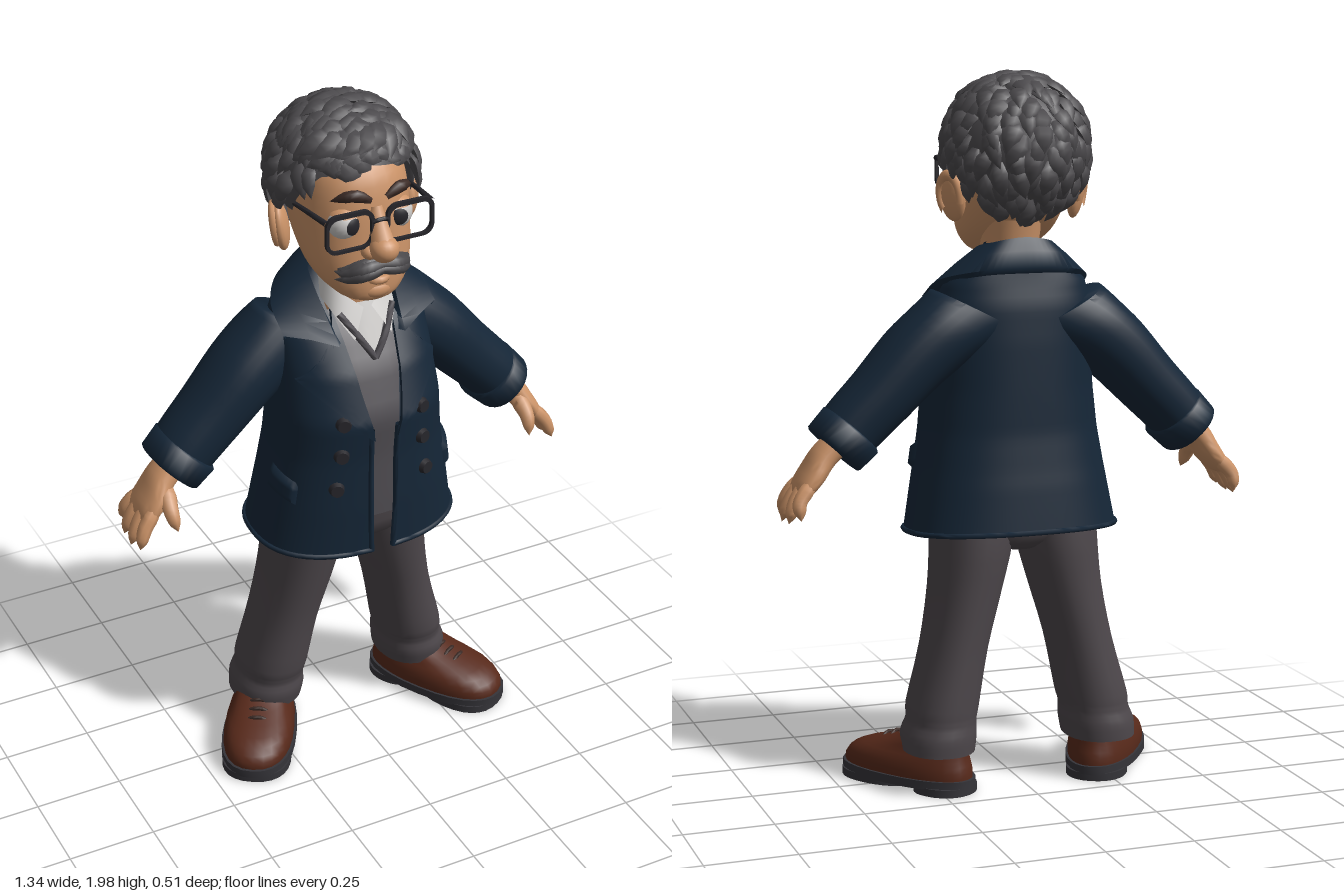
import * as THREE from 'three';
import { mergeGeometries, mergeVertices, toCreasedNormals } from 'three/addons/utils/BufferGeometryUtils.js';
const mat = (name, color, side = THREE.FrontSide) => Object.assign(new THREE.MeshStandardMaterial({ color, side }), { name });
const V = (p) => new THREE.Vector3(...p);
const { lerp, clamp, degToRad: rad } = THREE.MathUtils;
const spow = (c, p) => Math.sign(c) * Math.abs(c) ** (2 / p);
let seed = 7;
const rnd = () => ((seed = (seed * 16807) % 2147483647) / 2147483647) * 2 - 1;
// Row interpolated in a table whose first column is the ascending key
function table(rows, k) {
  let i = 0;
  while (i < rows.length - 2 && k > rows[i + 1][0]) i++;
  const t = clamp((k - rows[i][0]) / (rows[i + 1][0] - rows[i][0]), 0, 1);
  return rows[i].map((v, c) => lerp(v, rows[i + 1][c], t));
}
// Surface over a grid of points fn(u, v), u and v in 0..1
function grid(nu, nv, fn) {
  const pos = [], idx = [];
  for (let i = 0; i <= nu; i++) for (let j = 0; j <= nv; j++) pos.push(...fn(i / nu, j / nv, i));
  for (let i = 0; i < nu; i++) for (let j = 0; j < nv; j++) {
    const a = i * (nv + 1) + j, b = a + nv + 1;
    idx.push(a, b, a + 1, b, b + 1, a + 1);
  }
  const g = new THREE.BufferGeometry().setIndex(idx);
  g.setAttribute('position', new THREE.Float32BufferAttribute(pos, 3));
  return toCreasedNormals(mergeVertices(g), 1.2);
}
const onRim = (u, v) => u === 0 || u === 1 || v === 0 || v === 1;
// Stack of superellipse sections [x, y, z, rx, rz, tilt], capped at both ends
function loft(sec, { n = 28, p = 2.2, taper = 0, sub = 3 } = {}) {
  const rows = [], at = (i) => sec[clamp(i, 0, sec.length - 1)];
  for (let i = 0; i < sec.length - 1; i++) for (let k = 0; k < sub; k++) {
    const t = k / sub, [a, b, c, d] = [at(i - 1), at(i), at(i + 1), at(i + 2)];
    rows.push(b.map((v, m) => v + 0.5 * t * (c[m] - a[m] + t * (2 * a[m] - 5 * v + 4 * c[m] - d[m] + t * (3 * (v - c[m]) + d[m] - a[m])))));
  }
  rows.push(sec[sec.length - 1]);
  const cap = (r) => r.map((v, m) => (m === 3 || m === 4 ? 0 : v));
  rows.unshift(cap(rows[0])); rows.push(cap(rows[rows.length - 1]));
  return grid(rows.length - 1, n, (u, v, i) => {
    const [x, y, z, ru, rv, t = 0] = rows[i], a = v * Math.PI * 2, c = spow(Math.cos(a), p) * ru * (1 + taper * Math.sin(a));
    return [x + c * Math.cos(t), y + c * Math.sin(t), z + spow(Math.sin(a), p) * rv];
  });
}
// Tapered tube along points, flattened towards "up"
function sweep(pts, radii, { up = [0, 0, 1], flat = 1, n = 8, seg = 8 } = {}) {
  const curve = new THREE.CatmullRomCurve3(pts.map(V)), r = radii.map((v, i) => [i / (radii.length - 1), v]);
  return grid(n, seg, (u, v) => {
    const T = curve.getTangentAt(u), S = T.clone().cross(V(up)).normalize(), N = S.clone().cross(T);
    const R = table(r, u)[1], a = v * Math.PI * 2;
    return curve.getPointAt(u).addScaledVector(S, R * Math.cos(a)).addScaledVector(N, R * flat * Math.sin(a)).toArray();
  });
}
const ball = (x, y, z, a, b, c) => new THREE.SphereGeometry(1, 20, 14).scale(a, b, c).translate(x, y, z);
function plain(g) {
  const o = g.index ? g.toNonIndexed() : g.clone();
  o.deleteAttribute('uv'); o.clearGroups();
  return o;
}
// A geometry with its mirror image, corners reordered
function pair(g) {
  const o = plain(g).scale(-1, 1, 1);
  for (const at of Object.values(o.attributes)) for (let i = 0; i < at.count; i += 3) {
    const b = [at.getX(i + 1), at.getY(i + 1), at.getZ(i + 1)];
    at.setXYZ(i + 1, at.getX(i + 2), at.getY(i + 2), at.getZ(i + 2)).setXYZ(i + 2, ...b);
  }
  return [g, o];
}
// Coat rows: height, centre z, half width, half depth, half opening
const P = 2.4, coatRows = [[0.7, -0.015, 0.3, 0.215, 0.035], [0.85, -0.005, 0.275, 0.21, 0.04], [1, 0.005, 0.25, 0.2, 0.04],
  [1.12, 0.012, 0.238, 0.202, 0.042], [1.25, -0.01, 0.228, 0.174, 0.065], [1.35, -0.038, 0.224, 0.138, 0.085],
  [1.42, -0.06, 0.195, 0.1, 0.095], [1.47, -0.075, 0.135, 0.075, 0.09], [1.52, -0.085, 0.095, 0.05, 0.08]];
function coatAt(a, y, off = 0) {
  const [, cz, rx, rz] = table(coatRows, y), lift = 0.016 * (1 - Math.sin(a)) * Math.max(0, (0.9 - y) / 0.2);
  return [spow(Math.cos(a), P) * (rx + off), y + lift, cz + spow(Math.sin(a), P) * (rz + off)];
}
function coatZ(x, y, off) {
  const [, cz, rx, rz] = table(coatRows, y);
  return cz + off + rz * (1 - Math.min(0.999, Math.abs(x) / rx) ** P) ** (1 / P);
}
const coatGap = (y) => { const [, , rx, , w] = table(coatRows, y); return Math.asin((w / rx) ** (P / 2)); };
const between = (a, b, dy) => a.map((p, i) => [(p[0] + b[i][0]) / 2, (p[1] + b[i][1]) / 2 + dy, (p[2] + b[i][2]) / 2]);
// Hair volume: directions, hairline (azimuth, elevation) and pointed locks
const hairPoint = (d, off) => [d.x * 0.182 * (1 + off), 1.765 + d.y * 0.19 * (1 + off), -0.034 + d.z * 0.19 * (1 + off)];
const dir = (th, ph) => V([Math.sin(rad(th)) * Math.cos(rad(ph)), Math.sin(rad(ph)), Math.cos(rad(th)) * Math.cos(rad(ph))]);
const hairline = [[0, 26], [45, 18], [62, 4], [76, -20], [87, -16], [102, -10], [118, -42], [150, -58], [180, -66]];
const lowest = (th) => table(hairline, Math.abs(((th + 540) % 360) - 180))[1];
function lock(A, B, w, lift, bend = 0) {
  const pts = [0, 0.33, 0.66, 1].map((t, i) => {
    const d = A.clone().lerp(B, t);
    d.z += bend * Math.sin(t * Math.PI);
    return hairPoint(d.normalize(), lift * [0, 0.75, 1.05, 1.2][i]);
  });
  return sweep(pts, [w * 0.5, w, w * 0.75, 0], { up: A.clone().add(B).normalize().toArray(), flat: 0.5, n: 6, seg: 6 });
}

export function createModel() {
  const model = new THREE.Group(), head = new THREE.Group(), D = THREE.DoubleSide;
  model.name = 'man'; head.name = 'head'; head.position.x = -0.01;
  model.add(head);
  const skin = mat('skin', 0xcb9368), hair = mat('hair', 0x4c4a4d, D), coat = mat('navy coat', 0x152637, D), trouser = mat('grey trousers', 0x4d474b);
  const leather = mat('brown leather', 0x57291a), sole = mat('sole', 0x353439), white = mat('white', 0xcdcbc9, D);
  const knit = mat('sweater', 0x504d52, D), dark = mat('dark frame', 0x27262b), brow = mat('dark brown', 0x3d2c27);
  const add = (parent, name, material, ...geos) => {
    const m = new THREE.Mesh(mergeGeometries(geos.flat().map(plain)), material);
    m.name = name; parent.add(m);
  };
  // Shoes, turned outward
  const place = (g) => pair(g.rotateY(0.55).translate(0.295, 0, -0.005)), foot = { p: 2.3, taper: 0.12, sub: 2 };
  add(model, 'shoeUppers', leather, place(loft([[0, 0.035, 0, 0.1, 0.213], [0, 0.062, 0, 0.101, 0.212], [0, 0.092, -0.012, 0.094, 0.192],
    [0, 0.115, -0.045, 0.08, 0.155], [0, 0.14, -0.085, 0.07, 0.108], [0, 0.158, -0.1, 0.06, 0.09]], foot)));
  add(model, 'shoeSoles', sole, [[0.018, 0.042, 0, 0.107, 0.222], [0, 0.022, -0.135, 0.086, 0.084], [0, 0.022, 0.085, 0.1, 0.132]]
    .flatMap(([y0, y1, z, w, l]) => place(loft([[0, y0, z, w, l], [0, y1, z, w, l]], { ...foot, sub: 1 }))));
  add(model, 'laces', brow, [0, 1, 2].flatMap((i) => place(sweep([[-0.045, 0.112 + i * 0.008, 0.072 - i * 0.03],
    [0, 0.127 + i * 0.01, 0.078 - i * 0.03], [0.045, 0.112 + i * 0.008, 0.072 - i * 0.03]], [0, 0.006, 0.006, 0], { up: [0, 1, 0] }))));
  // Trousers with rumpled hems
  add(model, 'trouserLegs', trouser, pair(loft([[0.24, 0.115, -0.09, 0.1, 0.122], [0.236, 0.16, -0.085, 0.102, 0.127], [0.228, 0.2, -0.084, 0.094, 0.12], [0.222, 0.24, -0.078, 0.097, 0.125],
    [0.185, 0.4, -0.068, 0.09, 0.126], [0.148, 0.56, -0.055, 0.098, 0.136], [0.125, 0.7, -0.045, 0.111, 0.145], [0.115, 0.86, -0.03, 0.115, 0.145]])));
  add(model, 'trouserSeat', trouser, loft([[0, 0.67, -0.04, 0.06, 0.09], [0, 0.72, -0.015, 0.16, 0.165], [0, 0.86, 0, 0.2, 0.175]]));
  // Sweater with V neck, shirt and shirt collar
  add(model, 'sweater', knit, grid(20, 40, (u, v) => coatAt(v * Math.PI * 2, lerp(0.81, 1.4, u), -0.014)));
  add(model, 'sweaterNeckband', knit, pair(sweep([[0, 1.285, 0.15], [0.035, 1.34, 0.135], [0.08, 1.41, 0.09]], [0.009, 0.01, 0.009])));
  add(model, 'shirtFront', white, grid(8, 8, (u, v) => {
    const x = (v - 0.5) * 2 * lerp(0.004, 0.075, u);
    return [x, lerp(1.285, 1.43, u), lerp(0.148, 0.088, u) - x * x * 3];
  }));
  const [shTop, shOut] = [[[0.012, 1.42, 0.102], [0.074, 1.47, 0.05], [0.078, 1.49, -0.05], [0, 1.5, -0.118]],
    [[0.055, 1.345, 0.137], [0.094, 1.415, 0.068], [0.088, 1.45, -0.06], [0, 1.46, -0.128]]].map((h) => new THREE.CatmullRomCurve3(h.map(V)));
  add(model, 'shirtCollar', white, pair(grid(3, 20, (u, v) => shTop.getPoint(v).lerp(shOut.getPoint(v), u).toArray())));
  // Coat body, edges and hem
  const around = (y, v) => lerp(Math.PI / 2 + coatGap(y), Math.PI * 2.5 - coatGap(y), v);
  add(model, 'coatBody', coat, grid(40, 56, (u, v) => coatAt(around(lerp(0.7, 1.52, u), v), lerp(0.7, 1.52, u))));
  add(model, 'coatHem', coat, sweep([...Array(25).keys()].map((i) => coatAt(around(0.7, i / 24), 0.705)), [0.008, 0.008], { up: [0, 1, 0], n: 60, seg: 6 }));
  add(model, 'coatFrontEdges', coat, pair(sweep([0.7, 0.85, 1, 1.1].map((y) => coatAt(Math.PI / 2 - coatGap(y), y, -0.003)), [0.009, 0.009], { n: 14 })));
  // Peaked lapels: t, inner edge x y, outer edge x y
  const lapel = [[0, 0.085, 1.41, 0.11, 1.325], [0.15, 0.08, 1.36, 0.21, 1.24], [0.6, 0.06, 1.2, 0.12, 1.155], [1, 0.035, 1.07, 0.045, 1.075]];
  add(model, 'lapels', coat, pair(grid(22, 10, (u, v) => {
    const [, xi, yi, xo, yo] = table(lapel, (u * 22 - 1) / 20), s = clamp((v * 10 - 1) / 8, 0, 1), x = lerp(xi, xo, s), y = lerp(yi, yo, s);
    return [x, y, coatZ(x, y, onRim(u, v) ? -0.002 : 0.011)];
  })));
  // Collar: rows of half curves from front to centre back, mirrored into whole curves
  const cTop = [[0.1, 1.335, 0.132], [0.112, 1.497, -0.03], [0.08, 1.525, -0.122], [0, 1.537, -0.14]];
  const cOut = [[0.23, 1.365, 0.06], [0.218, 1.418, -0.045], [0.13, 1.45, -0.155], [0, 1.455, -0.172]];
  const cRows = [[[0.085, 1.335, 0.11], [0.1, 1.44, -0.02], [0.072, 1.49, -0.112], [0, 1.5, -0.125]], cTop, between(cTop, cOut, 0.005), cOut,
    cOut.map(([x, y, z]) => [x * 0.96, y - 0.014, z * 0.95])]
    .map((h) => new THREE.CatmullRomCurve3([...h, ...h.slice(0, -1).reverse().map(([x, y, z]) => [-x, y, z])].map(V)));
  add(model, 'coatCollar', coat, grid(4, 40, (u, v, i) => cRows[i].getPoint(v).toArray()));
  // Pocket flaps and buttons
  add(model, 'pocketFlaps', coat, pair(grid(6, 10, (u, v) => coatAt(lerp(0.08, 0.6, v), lerp(0.895, 0.965, u) - v * 0.03, onRim(u, v) ? -0.002 : 0.012))));
  add(model, 'buttons', dark, [[0.12, 1.13], [0.125, 1.03], [0.138, 0.925]].flatMap(([x, y]) =>
    pair(new THREE.CylinderGeometry(0.018, 0.023, 0.016, 14).rotateX(Math.PI / 2).rotateY(0.3).translate(x, y, coatZ(x, y, 0.006)))));
  // Sleeves and cuffs
  add(model, 'sleeves', coat, pair(loft([[0.517, 0.98, -0.065, 0.08, 0.095, 0.75], [0.47, 1.035, -0.065, 0.086, 0.1, 0.76], [0.39, 1.115, -0.068, 0.091, 0.107, 0.77],
    [0.295, 1.213, -0.07, 0.1, 0.115, 0.74], [0.205, 1.285, -0.075, 0.112, 0.113, 0.6], [0.12, 1.335, -0.075, 0.138, 0.1, 0.47]])));
  add(model, 'cuffs', coat, pair(loft([[0.525, 0.971, -0.065, 0.083, 0.098, 0.76], [0.522, 0.975, -0.065, 0.089, 0.103, 0.76],
    [0.475, 1.022, -0.065, 0.093, 0.107, 0.76], [0.471, 1.026, -0.065, 0.086, 0.1, 0.76]], { sub: 1 })));
  // Hands
  const palm = loft([[0.622, 0.852, -0.055, 0.018, 0.062, 0.6], [0.608, 0.873, -0.055, 0.027, 0.074, 0.62], [0.58, 0.91, -0.055, 0.033, 0.072, 0.65],
    [0.55, 0.955, -0.06, 0.036, 0.056, 0.7], [0.5, 1, -0.063, 0.038, 0.05, 0.75]]);
  const fingers = [[-0.108, -0.14, 0.635, 0.795], [-0.072, -0.088, 0.657, 0.779], [-0.036, -0.03, 0.662, 0.776], [0, 0.022, 0.655, 0.787]].map(([z0, z1, x, y]) =>
    sweep([[0.6, 0.885, z0], [0.635, 0.84, lerp(z0, z1, 0.5)], [x, y, z1]], [0.018, 0.022, 0.021, 0.02, 0.017, 0], { n: 12 }));
  const thumb = sweep([[0.555, 0.93, -0.02], [0.562, 0.885, 0.032], [0.555, 0.838, 0.058]], [0.022, 0.026, 0.023, 0.021, 0.017, 0], { n: 12, up: [1, 0, 0] });
  add(model, 'hands', skin, [palm, ...fingers, thumb].flatMap(pair));
  // Neck, face, nose, lip and ears
  add(model, 'neck', skin, loft([[0, 1.36, -0.025, 0.08, 0.095], [0, 1.45, -0.012, 0.073, 0.088], [0, 1.58, -0.02, 0.085, 0.095]]));
  add(head, 'face', skin, loft([[0, 1.476, 0.12, 0.05, 0.05], [0, 1.492, 0.108, 0.085, 0.078], [0, 1.53, 0.075, 0.122, 0.115], [0, 1.58, 0.043, 0.142, 0.145],
    [0, 1.65, 0.013, 0.152, 0.168], [0, 1.74, -0.003, 0.152, 0.174], [0, 1.82, -0.018, 0.14, 0.166], [0, 1.88, -0.025, 0.105, 0.12]], { p: 2.35 }),
  ball(0, 1.51, 0.16, 0.05, 0.03, 0.035));
  add(head, 'nose', skin, ball(0, 1.643, 0.212, 0.04, 0.036, 0.04), pair(ball(0.032, 1.632, 0.19, 0.022, 0.02, 0.025)),
    sweep([[0, 1.745, 0.163], [0, 1.7, 0.182], [0, 1.65, 0.208]], [0.018, 0.026, 0.034]));
  add(head, 'lowerLip', skin, sweep([[-0.045, 1.545, 0.172], [0, 1.543, 0.192], [0.045, 1.545, 0.172]], [0, 0.012, 0.012, 0], { up: [0, 1, 0] }));
  const rim = new THREE.TorusGeometry(0.037, 0.011, 8, 20, 4.4).rotateZ(-0.9).rotateY(-Math.PI / 2).scale(1, 1.45, 0.95).translate(0.014, 0.006, -0.002);
  add(head, 'ears', skin, pair(mergeGeometries([ball(0, 0, 0, 0.022, 0.07, 0.043), rim].map(plain)).rotateZ(-0.14).rotateY(0.55).translate(0.18, 1.645, -0.03)));
  // Eyes, lids, brows
  const eye = (g) => pair(g.translate(0.076, 1.702, 0.13));
  add(head, 'eyeballs', white, eye(new THREE.SphereGeometry(0.046, 20, 14)));
  add(head, 'irises', dark, eye(new THREE.SphereGeometry(0.0475, 18, 6, 0, Math.PI * 2, 0, 0.52).rotateX(Math.PI / 2).rotateY(-0.22)));
  add(head, 'eyelids', skin, eye(new THREE.SphereGeometry(0.0495, 20, 8, 0, Math.PI * 2, 0, 0.95).rotateX(0.1)));
  add(head, 'eyebrows', brow, pair(sweep([[0.022, 1.772, 0.18], [0.065, 1.79, 0.172], [0.12, 1.772, 0.135]], [0.008, 0.018, 0.016, 0], { flat: 0.8 })));
  // Moustache: overlapping strands on each side
  add(head, 'moustache', hair, [[0, 0, 1], [-0.012, 0.006, 0.8], [0.008, -0.008, 0.85]].flatMap(([dy, dz, k]) =>
    pair(sweep([[-0.004, 1.592 + dy, 0.2 + dz], [0.045, 1.586 + dy, 0.198 + dz], [0.085, 1.57 + dy, 0.17 + dz], [0.113, 1.574 + dy * 2, 0.14 + dz]],
      [0.014 * k, 0.023 * k, 0.024 * k, 0.016 * k, 0], { flat: 0.8, n: 12 }))));
  // Glasses
  const rounded = (s, x0, y0, x1, y1, r) => [[x1 - r, y1 - r], [x0 + r, y1 - r], [x0 + r, y0 + r], [x1 - r, y0 + r]]
    .reduce((path, [x, y], i) => path.absarc(x, y, r, i * Math.PI / 2, (i + 1) * Math.PI / 2), s);
  const frame = rounded(new THREE.Shape(), 0.018, 1.645, 0.158, 1.755, 0.032);
  frame.holes.push(rounded(new THREE.Path(), 0.027, 1.653, 0.149, 1.743, 0.026));
  add(head, 'glasses', dark, pair(new THREE.ExtrudeGeometry(frame, { depth: 0.011, bevelEnabled: false, curveSegments: 6 }).translate(0, 0, 0.183)),
    sweep([[-0.024, 1.715, 0.19], [0, 1.722, 0.197], [0.024, 1.715, 0.19]], [0.006, 0.006], { up: [0, 1, 0] }),
    pair(sweep([[0.154, 1.737, 0.19], [0.16, 1.733, 0.1], [0.166, 1.725, -0.02]], [0.008, 0.007, 0.006], { up: [0, 1, 0] })));
  // Hair: scalp cap, then rows of short pointed locks down the back and sides
  add(head, 'hairCap', hair, grid(14, 48, (u, v) => hairPoint(dir(v * 360, lerp(lowest(v * 360), 90, u)), 0)));
  const locks = [];
  for (let ph = 72, row = 0; ph > -62; ph -= 11, row++) {
    const n = Math.max(8, Math.round(24 * Math.cos(rad(ph))));
    for (let i = 0; i < n; i++) {
      const th = ((i + (row % 2) / 2) / n) * 360 + rnd() * 5;
      if (Math.min(th, Math.abs(360 - th)) < 56 || ph < lowest(th) + 4) continue;
      locks.push(lock(dir(th, ph + 9), dir(th + rnd() * 14, Math.max(ph - 17, lowest(th) - 5)), 0.027 + rnd() * 0.004, 0.105 + rnd() * 0.03));
    }
  }
  // Swept top: overlapping wavy locks from a side parting, fuller at the front
  for (let i = 0; i < 11; i++) {
    const z = 0.95 - i * 0.14, f = Math.max(0, z), h = 0.9 - f * 0.2;
    const root = V([0.3, h, z * 0.95]).normalize(), right = V([-0.9 + f * 0.22, 0.36 + f * 0.12, z * 0.85 + 0.12]).normalize();
    const left = V([0.9 - f * 0.28, 0.36 + f * 0.1, z * 0.9]).normalize();
    for (const [end, steps, w] of [[right, 4, 0.033], [left, 2, 0.034]]) for (let s = 0; s < steps; s++) {
      const t0 = s / (steps + 0.6) - 0.06, t1 = t0 + 1.75 / (steps + 0.6), path = (t) => root.clone().lerp(end, t).normalize();
      const tip = path(t1);
      tip.z += 0.1 + rnd() * 0.08;
      locks.push(lock(path(t0), tip, w + rnd() * 0.005, 0.085 + f * 0.06 + rnd() * 0.025, 0.09 + rnd() * 0.07));
    }
  }
  // Fringe curling over the forehead
  for (let i = 0; i < 9; i++) {
    const th = 52 - i * 13;
    locks.push(lock(dir(th + 16, 56), dir(th - 14, 26 + 5 * Math.cos(rad(th)) + rnd() * 4), 0.034, 0.17 + rnd() * 0.03, 0.06));
  }
  add(head, 'hairLocks', hair, locks);
  return model;
}
